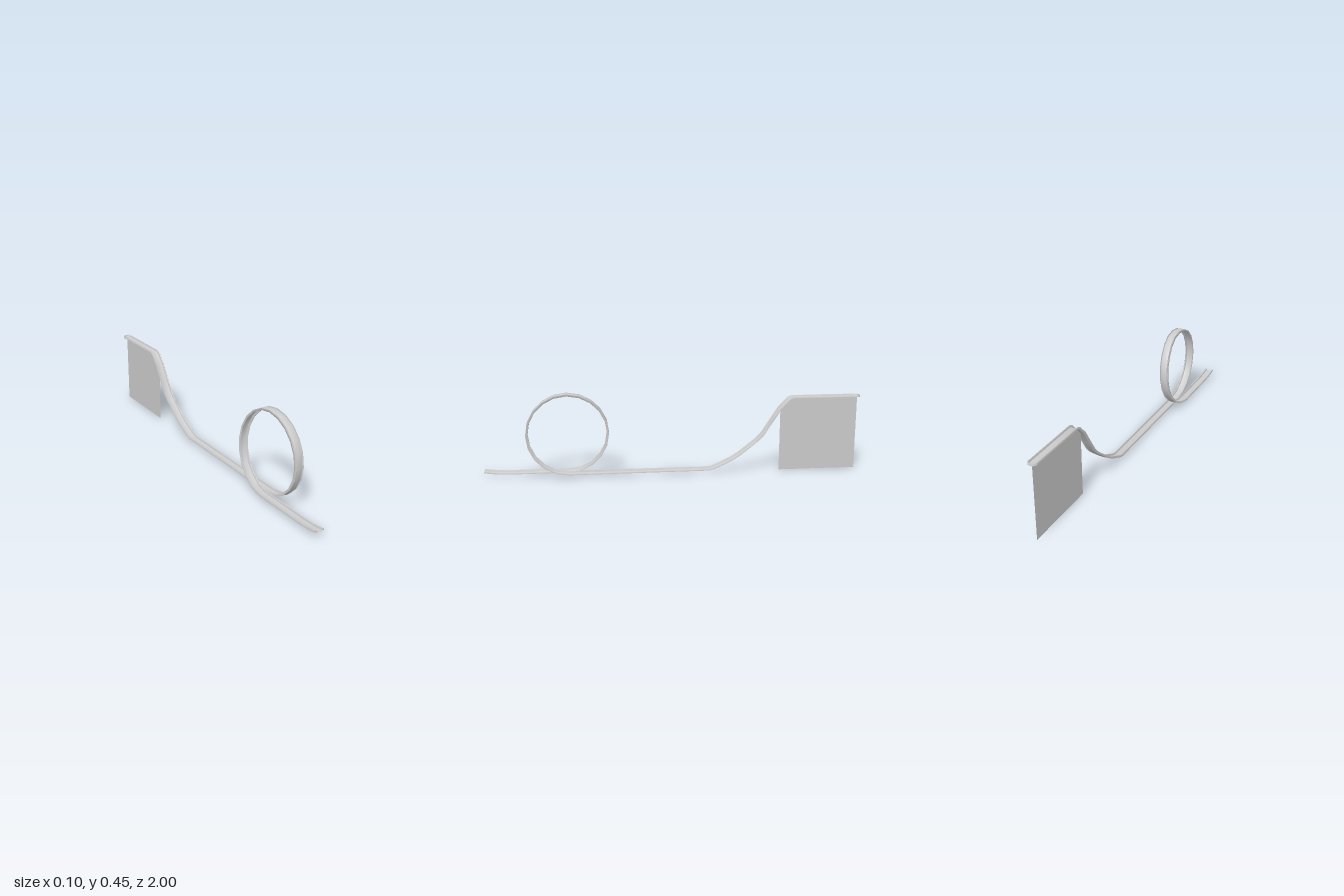
import * as THREE from 'three';
import { toCreasedNormals } from 'three/addons/utils/BufferGeometryUtils.js';

const TRACK_X = 0.0245; // lane centre; the run leaves the loop on the mirrored lane
const FLOOR = 0.013;
const TOP = 0.393;

// half of the gutter section: [distance from centre line, height above floor]
const HALF = [[0, 0], [0.010, 0.0005], [0.0165, 0.002], [0.0195, 0.011], [0.0225, 0.012], [0.024, 0.010], [0.024, 0.001]];
const SECTION = [...HALF.slice(1).reverse().map(([s, h]) => [-s, h]), ...HALF];

// centre line of the track floor
function trackPath() {
  const p = [];
  const add = (x, y, z) => p.push(new THREE.Vector3(x, y, z));
  // start platform and drop
  const drop = [[-0.976, TOP], [-0.8, TOP], [-0.632, TOP], [-0.615, 0.386], [-0.567, 0.335],
    [-0.52, 0.262], [-0.476, 0.195], [-0.44, 0.16], [-0.4, 0.129], [-0.355, 0.094],
    [-0.31, 0.065], [-0.25, 0.037], [-0.205, 0.018], [-0.18, FLOOR], [0.2, FLOOR], [0.49, FLOOR]];
  drop.forEach(([z, y]) => add(TRACK_X, y, z));
  // loop: up the front, over, and down the back while shifting sideways
  const R = 0.217, steps = 20;
  for (let i = 0; i <= steps; i++) {
    const a = (i / steps) * Math.PI * 2;
    const k = Math.max(0, (a / Math.PI - 1.12) / 0.88);
    add(TRACK_X - 2 * TRACK_X * k, FLOOR + R - R * Math.cos(a), 0.56 + R * Math.sin(a));
  }
  // run-out with a slightly raised end
  [[0.64, FLOOR], [0.86, FLOOR], [0.92, 0.015], [0.96, 0.019], [1, 0.025]].forEach(([z, y]) => add(-TRACK_X, y, z));
  return p;
}

// sweep the section along the path, keeping it level in x
function sweep(path, section) {
  const pos = [], idx = [], n = section.length;
  path.forEach((c, i) => {
    const a = path[Math.max(0, i - 1)], b = path[Math.min(path.length - 1, i + 1)];
    const d1 = c.clone().sub(a).setX(0).normalize();
    const d2 = b.clone().sub(c).setX(0).normalize();
    const t = d1.add(d2).normalize();
    for (const [s, h] of section) pos.push(c.x + s, c.y + t.z * h, c.z - t.y * h);
    if (i === 0) return;
    for (let j = 0; j < n - 1; j++) {
      const q = (i - 1) * n + j;
      idx.push(q, q + n, q + 1, q + 1, q + n, q + n + 1);
    }
  });
  const g = new THREE.BufferGeometry();
  g.setAttribute('position', new THREE.Float32BufferAttribute(pos, 3));
  g.setIndex(idx);
  return g;
}

export function createModel() {
  const group = new THREE.Group();
  const mat = new THREE.MeshStandardMaterial({ color: 0xcccccc, side: THREE.DoubleSide });
  const add = (name, geometry) => {
    const m = new THREE.Mesh(geometry, mat);
    m.name = name;
    group.add(m);
    return m;
  };

  add('track', toCreasedNormals(sweep(trackPath(), SECTION), 0.7));

  // rounded closed end behind the platform
  const profile = HALF.map(([s, h]) => new THREE.Vector2(s, h));
  const cap = add('trackEndCap', toCreasedNormals(new THREE.LatheGeometry(profile, 12, Math.PI / 2, Math.PI), 0.7));
  cap.position.set(TRACK_X, TOP, -0.976);

  // thin support sheet under the platform, cut to follow the drop
  const sheet = new THREE.Shape([[0.985, 0], [0.567, 0], [0.567, 0.335], [0.615, 0.386], [0.632, TOP], [0.985, TOP]]
    .map(([z, y]) => new THREE.Vector2(z, y)));
  const support = add('supportSheet', new THREE.ShapeGeometry(sheet));
  support.rotation.y = Math.PI / 2;
  support.position.x = TRACK_X;

  return group;
}
